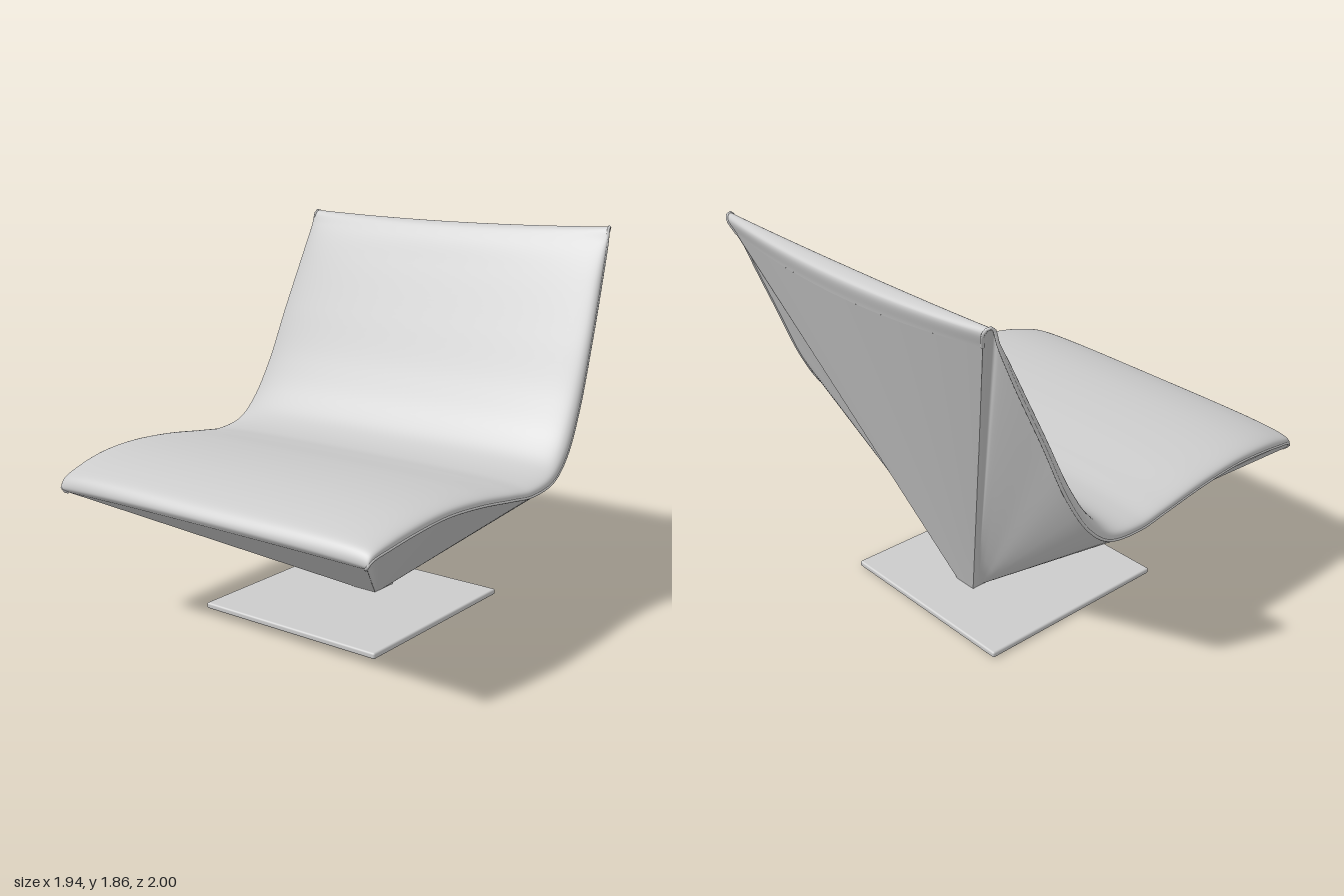
import * as THREE from 'three';
import { ParametricGeometry } from 'three/addons/geometries/ParametricGeometry.js';
import { RoundedBoxGeometry } from 'three/addons/geometries/RoundedBoxGeometry.js';

// Matching stations from front lip, over seat and backrest, to the rear lip:
// [centre y, centre z, rim half-width, rim y, rim z]
const STATIONS = [
  [0.675, 0.985, 0.87, 0.66, 0.965],
  [0.705, 1.0, 0.89, 0.675, 0.985],
  [0.75, 0.97, 0.9, 0.7, 0.965],
  [0.795, 0.87, 0.915, 0.725, 0.87],
  [0.83, 0.7, 0.935, 0.757, 0.7],
  [0.84, 0.5, 0.945, 0.772, 0.5],
  [0.825, 0.25, 0.953, 0.757, 0.25],
  [0.79, 0, 0.96, 0.725, 0],
  [0.775, -0.16, 0.965, 0.708, -0.16],
  [0.805, -0.31, 0.967, 0.735, -0.35],
  [0.9, -0.42, 0.965, 0.83, -0.47],
  [1.08, -0.535, 0.955, 1.02, -0.59],
  [1.35, -0.665, 0.94, 1.31, -0.715],
  [1.62, -0.79, 0.918, 1.6, -0.84],
  [1.77, -0.865, 0.905, 1.78, -0.91],
  [1.83, -0.915, 0.9, 1.85, -0.93],
  [1.835, -0.955, 0.895, 1.855, -0.95],
  [1.81, -1.0, 0.885, 1.835, -0.965],
  [1.72, -0.978, 0.852, 1.765, -0.942],
];
const centre = new THREE.CatmullRomCurve3(STATIONS.map(([y, z]) => new THREE.Vector3(0, y, z)));
const rim = new THREE.CatmullRomCurve3(STATIONS.map(([, , x, y, z]) => new THREE.Vector3(x, y, z)));

// Foot of the shell, where all the lower panels meet
const FOOT = { x: 0.06, y: 0.03, front: -0.2, back: -0.35 };

// Point on the cushion: s runs -1..1 across, t runs 0..1 from front lip to rear lip
function cushionPoint(s, t) {
  const c = centre.getPoint(t);
  const r = rim.getPoint(t);
  // plump rounded edge over the seat, gentle bow at both lips
  const plump = Math.pow(Math.max(0, 1 - s ** 4), 0.25);
  const bow = 1 - s * s;
  const lip = Math.max(1 - THREE.MathUtils.smoothstep(t, 0, 0.12), THREE.MathUtils.smoothstep(t, 0.72, 0.88));
  const k = THREE.MathUtils.lerp(plump, bow, lip);
  return new THREE.Vector3(r.x * s, THREE.MathUtils.lerp(r.y, c.y, k), THREE.MathUtils.lerp(r.z, c.z, k));
}

export function createModel() {
  const group = new THREE.Group();
  const material = new THREE.MeshStandardMaterial({ color: 0xcccccc, side: THREE.DoubleSide });

  const add = (name, geometry) => {
    const mesh = new THREE.Mesh(geometry, material);
    mesh.name = name;
    group.add(mesh);
    return mesh;
  };
  const surface = (name, fn, nu, nv) => {
    const geometry = new ParametricGeometry((u, v, target) => target.copy(fn(u, v)), nu, nv);
    geometry.computeVertexNormals();
    return add(name, geometry);
  };
  // Ruled panel from the foot up to an edge of the cushion
  const panel = (name, foot, edge) =>
    surface(name, (u, v) => foot(u).lerp(edge(u), v), 80, 12);

  // Seat and backrest in one sweep
  surface('seatAndBackrest', (u, v) => cushionPoint(Math.sin((u - 0.5) * Math.PI), v), 64, 144);

  // Front underside and rear panel
  panel('frontPanel',
    (u) => new THREE.Vector3((2 * u - 1) * FOOT.x, FOOT.y, FOOT.front),
    (u) => cushionPoint(2 * u - 1, 0));
  panel('backPanel',
    (u) => new THREE.Vector3((1 - 2 * u) * FOOT.x, FOOT.y, FOOT.back),
    (u) => cushionPoint(1 - 2 * u, 1));

  // Side panels and the piping along their seams
  for (const [side, label] of [[1, 'left'], [-1, 'right']]) {
    const along = (u) => (side > 0 ? u : 1 - u);
    panel(label + 'SidePanel',
      (u) => new THREE.Vector3(side * FOOT.x, FOOT.y, THREE.MathUtils.lerp(FOOT.front, FOOT.back, along(u))),
      (u) => cushionPoint(side, along(u)));

    const seam = new THREE.CatmullRomCurve3(STATIONS.map(([, , x, y, z]) => new THREE.Vector3(side * (x - 0.004), y, z)));
    add(label + 'Piping', new THREE.TubeGeometry(seam, 140, 0.007, 8));
  }

  // Square floor plate
  add('floorPlate', new RoundedBoxGeometry(1.03, 0.03, 1.04, 3, 0.01)).position.set(0, 0.015, -0.095);

  return group;
}
